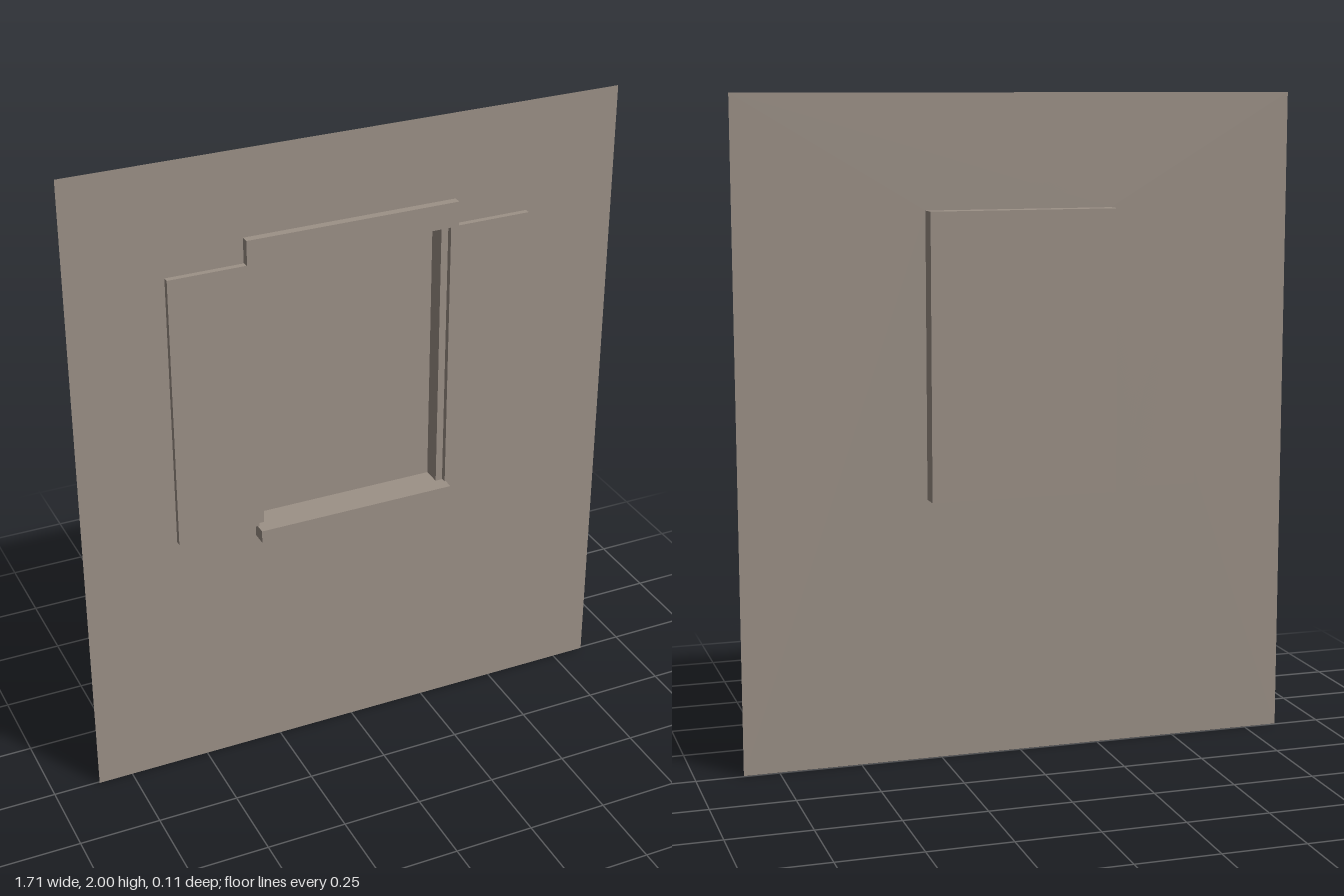
import * as THREE from 'three';

const WALL_Z = 0.005;               // plane of the wall
const OPEN_X = 0.288, OPEN_Y0 = 0.801, OPEN_Y1 = 1.66, BACK_Z = -0.053;

export function createModel() {
  const group = new THREE.Group();
  const plaster = new THREE.MeshStandardMaterial({ color: 0x9c9187, side: THREE.DoubleSide });
  plaster.name = 'plaster';

  const add = (name, geometry) => {
    const mesh = new THREE.Mesh(geometry, plaster);
    mesh.name = name;
    group.add(mesh);
    return mesh;
  };

  // Box given by its limits on each axis
  const box = (x0, x1, y0, y1, z0, z1) =>
    new THREE.BoxGeometry(x1 - x0, y1 - y0, z1 - z0)
      .translate((x0 + x1) / 2, (y0 + y1) / 2, (z0 + z1) / 2);

  const rectangle = (path, x, y0, y1) =>
    path.moveTo(-x, y0).lineTo(x, y0).lineTo(x, y1).lineTo(-x, y1).closePath();

  // Thin wall sheet with the window opening cut out
  const wall = new THREE.Shape();
  rectangle(wall, 0.857, 0, 2);
  const opening = new THREE.Path();
  rectangle(opening, OPEN_X, OPEN_Y0, OPEN_Y1);
  wall.holes.push(opening);
  add('wall', new THREE.ShapeGeometry(wall).translate(0, 0, WALL_Z));

  // Window recess: a box without its front face
  const recess = box(-OPEN_X, OPEN_X, OPEN_Y0, OPEN_Y1, BACK_Z, WALL_Z);
  const faces = Array.from(recess.index.array);
  faces.splice(24, 6);
  recess.setIndex(faces);
  recess.clearGroups();
  add('windowRecess', recess);

  // Open shutters on both sides
  add('leftShutter', box(0.31, 0.566, 0.803, 1.659, WALL_Z, 0.023));
  add('rightShutter', box(-0.566, -0.31, 0.803, 1.659, WALL_Z, 0.023));

  // Lintel above and sill below the opening
  add('lintel', box(-0.331, 0.331, OPEN_Y1, 1.737, WALL_Z, 0.03));
  add('sill', box(-0.315, 0.315, 0.761, OPEN_Y0, WALL_Z, 0.053));

  return group;
}
